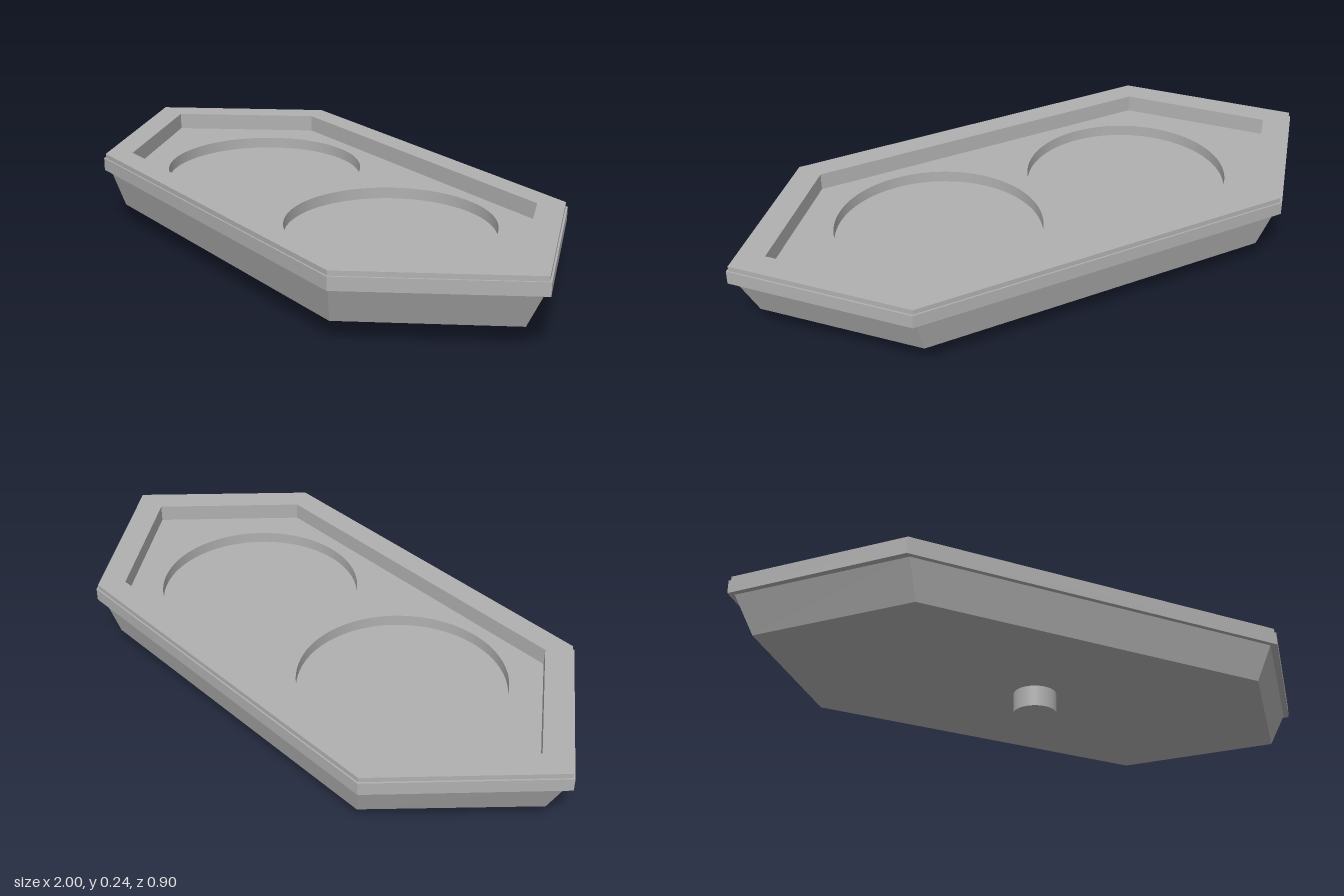
import * as THREE from 'three';

const grey = new THREE.MeshStandardMaterial({ color: 0xb0b0b0 });
grey.name = 'grey';

// Elongated hexagon: tip half-length, corner x, half-depth (counterclockwise from above)
const hex = (tip, cx, d) => [[tip, 0], [cx, -d], [-cx, -d], [-tip, 0], [-cx, d], [cx, d]];

// Flat-faced skin through hexagonal rings given as [y, tip, cornerX, halfDepth]
function loft(rings) {
  const pos = [];
  for (let r = 0; r < rings.length - 1; r++) {
    const [lo, hi] = [rings[r], rings[r + 1]].map(([y, ...size]) =>
      hex(...size).map(([x, z]) => [x, y, z]));
    for (let i = 0; i < 6; i++) {
      const j = (i + 1) % 6;
      pos.push(...lo[i], ...lo[j], ...hi[j], ...lo[i], ...hi[j], ...hi[i]);
    }
  }
  const geo = new THREE.BufferGeometry();
  geo.setAttribute('position', new THREE.Float32BufferAttribute(pos, 3));
  geo.computeVertexNormals();
  return geo;
}

export function createModel() {
  const group = new THREE.Group();
  const add = (name, geo, x = 0, y = 0) => {
    const mesh = new THREE.Mesh(geo, grey);
    mesh.name = name;
    mesh.position.set(x, y, 0);
    group.add(mesh);
  };

  const footHeight = 0.067, floorY = 0.187, pocketY = 0.15;
  const pocketX = 0.335, pocketR = 0.32;

  // Round foot under the centre
  add('foot', new THREE.CylinderGeometry(0.068, 0.068, footHeight, 48), 0, footHeight / 2);

  // Tapered base with a closed underside
  add('base', loft([
    [footHeight, 0.001, 0.0005, 0.0005],
    [footHeight, 0.915, 0.572, 0.403],
    [0.185, 0.978, 0.607, 0.434],
  ]));

  // Overhanging rim, its stepped lip and the walls of the recess
  add('rim', loft([
    [0.185, 0.9, 0.58, 0.38],
    [0.185, 1, 0.622, 0.449],
    [0.226, 1, 0.622, 0.449],
    [0.226, 0.993, 0.618, 0.444],
    [0.241, 0.993, 0.618, 0.444],
    [0.241, 0.882, 0.575, 0.367],
    [0.185, 0.882, 0.575, 0.367],
  ]));

  // Recessed deck with two round openings
  const deck = new THREE.Shape(hex(0.9, 0.58, 0.38).map(([x, z]) => new THREE.Vector2(x, -z)));
  for (const side of [-1, 1]) {
    deck.holes.push(new THREE.Path().absarc(side * pocketX, 0, pocketR, 0, Math.PI * 2, true));
  }
  const deckGeo = new THREE.ExtrudeGeometry(deck, {
    depth: floorY - pocketY, bevelEnabled: false, curveSegments: 64,
  });
  add('deck', deckGeo.rotateX(-Math.PI / 2), 0, pocketY);

  // Floors of the round pockets
  for (const [name, side] of [['rightPocketFloor', -1], ['leftPocketFloor', 1]]) {
    add(name, new THREE.CircleGeometry(pocketR + 0.002, 64).rotateX(-Math.PI / 2),
      side * pocketX, pocketY + 0.001);
  }
  return group;
}
